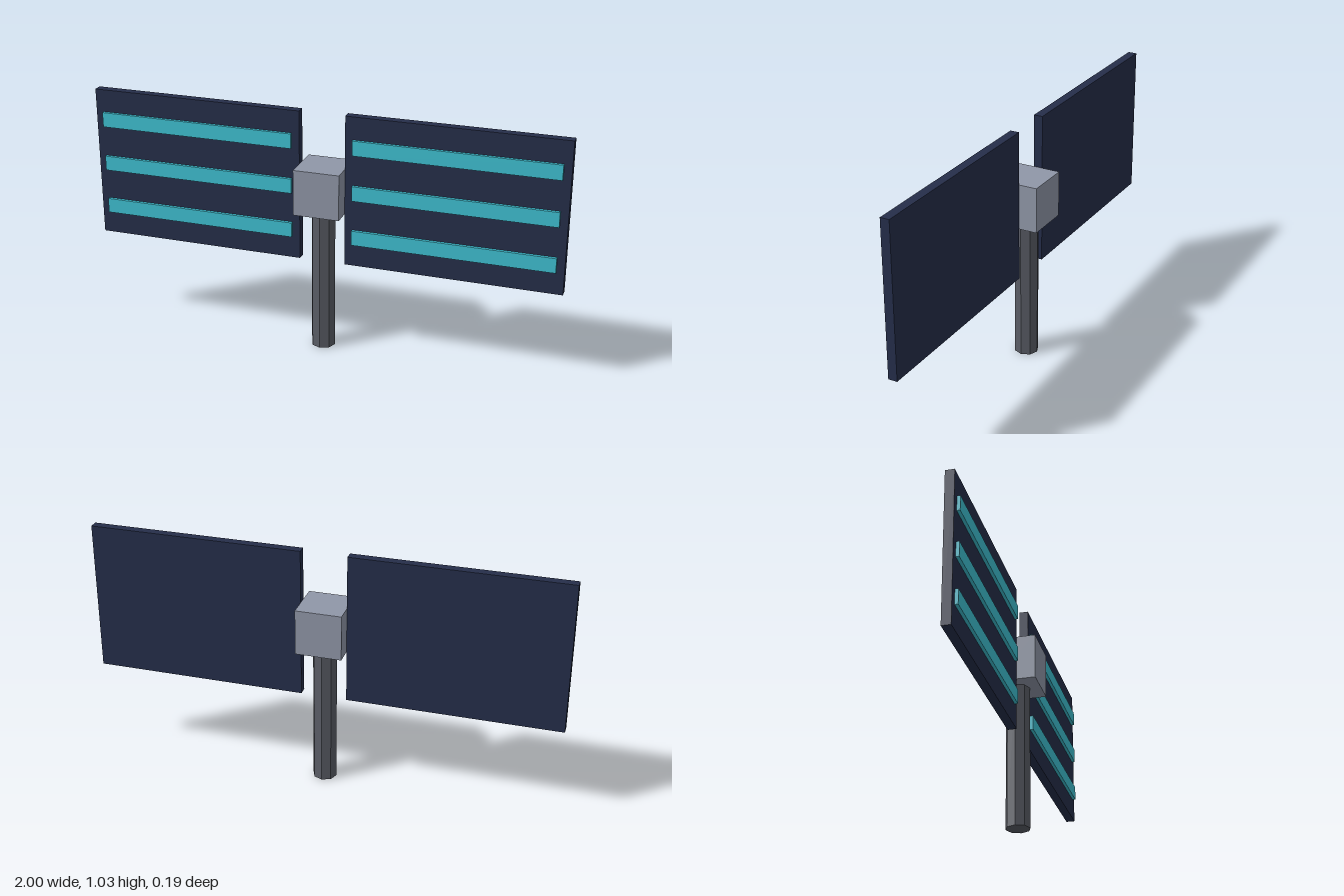
import * as THREE from 'three';

const material = (color) => new THREE.MeshStandardMaterial({ color, flatShading: true });

function addPart(parent, name, geometry, mat, x, y, z) {
  const mesh = new THREE.Mesh(geometry, mat);
  mesh.name = name;
  mesh.position.set(x, y, z);
  parent.add(mesh);
}

export function createModel() {
  const model = new THREE.Group();
  model.name = 'solarPanelArray';
  const poleMat = material(0x5a5d66);
  const hubMat = material(0x9097a8);
  const panelMat = material(0x252e4a);
  const stripMat = material(0x3fc1d3);
  const hubY = 0.712;

  // Eight-sided pole carrying a cubic hub
  addPart(model, 'pole', new THREE.CylinderGeometry(0.051, 0.051, 0.616, 8), poleMat, 0, 0.308, 0);
  addPart(model, 'hub', new THREE.BoxGeometry(0.194, 0.194, 0.194), hubMat, 0, hubY, 0);

  // Mirrored wings, each with three raised strips on the front
  const panelGeo = new THREE.BoxGeometry(0.903, 0.643, 0.038);
  const stripGeo = new THREE.BoxGeometry(0.838, 0.063, 0.026);
  for (const [side, s] of [['left', 1], ['right', -1]]) {
    const wing = new THREE.Group();
    wing.name = side + 'Wing';
    wing.position.set(s * 0.5485, hubY, 0);
    addPart(wing, side + 'Panel', panelGeo, panelMat, 0, 0, 0);
    for (let i = -1; i <= 1; i++) {
      addPart(wing, side + 'CellStrip', stripGeo, stripMat, 0, i * 0.194, 0.0195);
    }
    model.add(wing);
  }
  return model;
}
